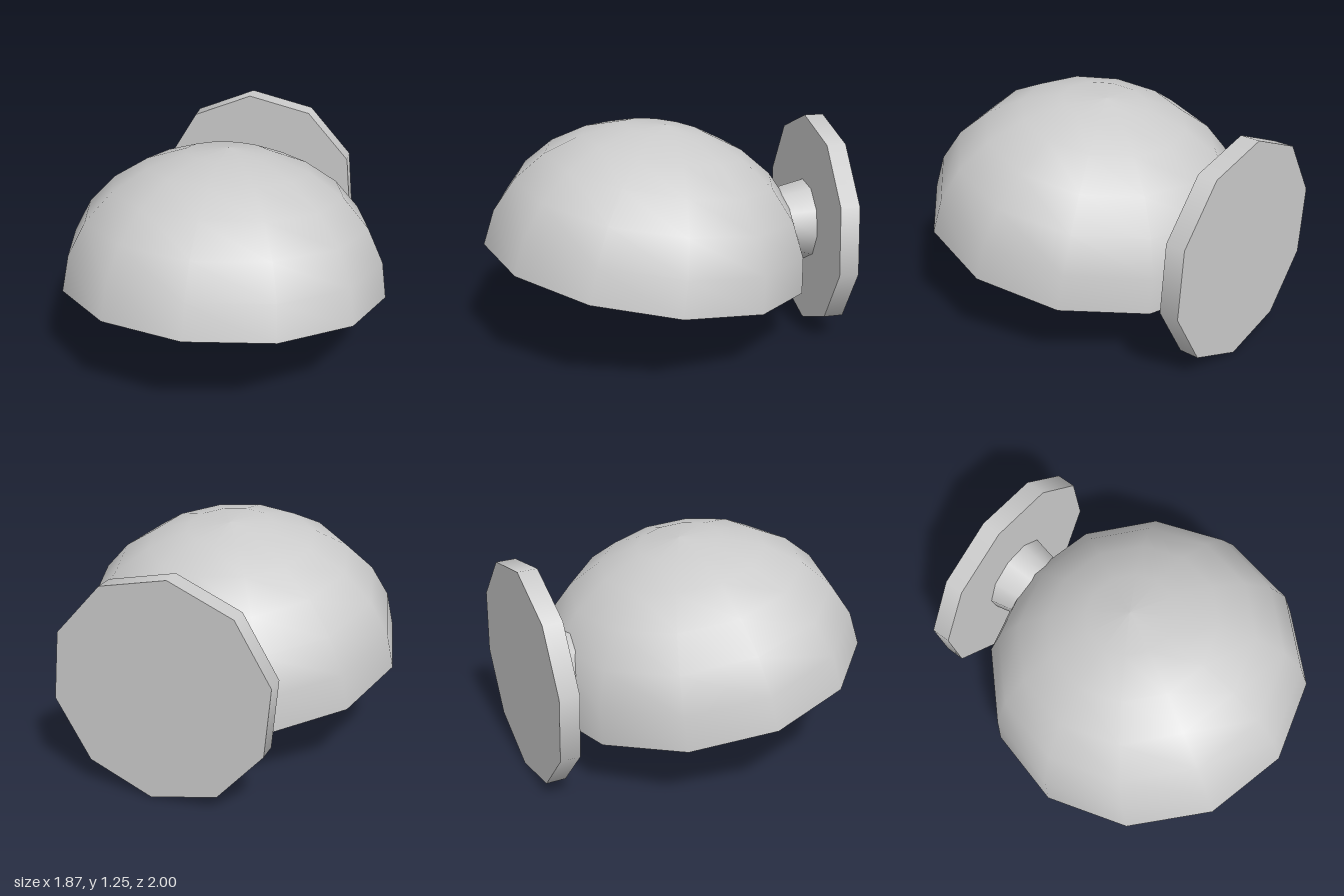
import * as THREE from 'three';

const material = new THREE.MeshStandardMaterial({ color: 0xcccccc });

function addMesh(parent, name, geometry) {
  const mesh = new THREE.Mesh(geometry, material);
  mesh.name = name;
  parent.add(mesh);
  return mesh;
}

// Revolve [radius, height] pairs around the y axis
function lathe(points, sides, start = 0) {
  return new THREE.LatheGeometry(points.map(([r, h]) => new THREE.Vector2(r, h)), sides, start);
}

// Quarter-ellipse profile, from the rim up to the apex
function domeProfile(radius, height, steps = 6) {
  return Array.from({ length: steps + 1 }, (_, i) => {
    const a = (i / steps) * Math.PI / 2;
    return [i === steps ? 0 : radius * Math.cos(a), height * Math.sin(a)];
  });
}

export function createModel() {
  const lamp = new THREE.Group();
  lamp.name = 'wallLamp';

  // Wall plate, a ten-sided disc
  const plate = new THREE.CylinderGeometry(0.618, 0.618, 0.11, 10, 1, false, 0.096);
  plate.rotateX(Math.PI / 2);
  addMesh(lamp, 'wallPlate', plate).position.set(0, 0.615, -0.945);

  // Tapered socket standing out from the plate
  const socket = new THREE.CylinderGeometry(0.19, 0.237, 0.21, 10, 1, false, 0.2);
  socket.rotateX(Math.PI / 2);
  addMesh(lamp, 'socket', socket).position.set(0, 0.612, -0.785);

  // Bulb, widening forward to a rounded end
  const bulb = lathe([
    [0.165, -0.72], [0.225, -0.32], [0.277, 0.07], [0.277, 0.31],
    [0.195, 0.46], [0.1, 0.485], [0, 0.49],
  ], 10, 0.2);
  bulb.rotateX(Math.PI / 2);
  addMesh(lamp, 'bulb', bulb).position.y = 0.628;

  // Thin domed shade, raised toward the front
  const shade = new THREE.Group();
  shade.name = 'shade';
  shade.position.set(0, 0.4625, 0.075);
  shade.rotation.x = -0.153;
  addMesh(shade, 'shadeOuter', lathe(domeProfile(0.936, 0.784), 12));
  addMesh(shade, 'shadeInner', lathe(domeProfile(0.922, 0.77).reverse(), 12));
  addMesh(shade, 'shadeRim', lathe([[0.922, 0], [0.936, 0]], 12));
  lamp.add(shade);

  return lamp;
}
